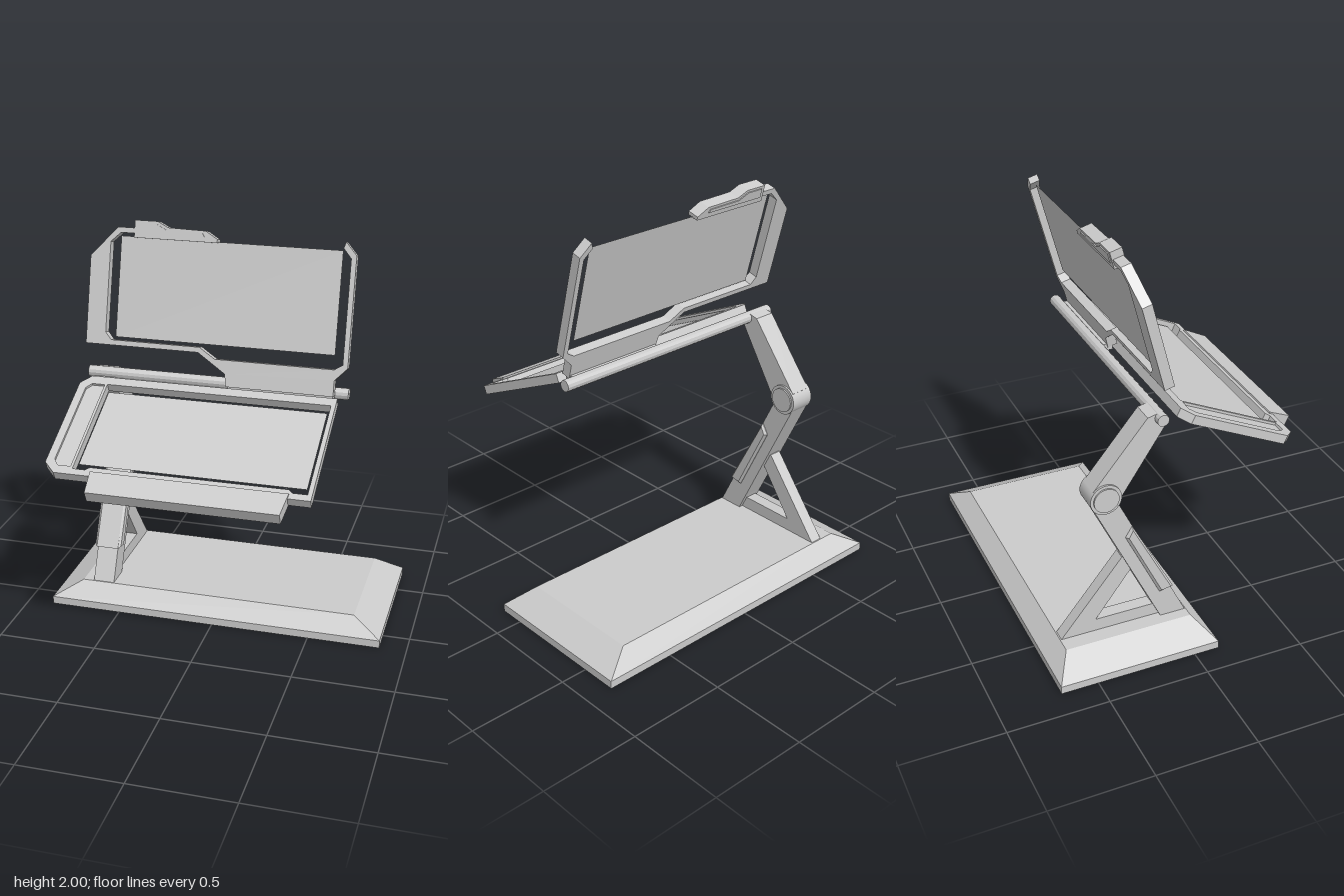
import * as THREE from 'three';

const material = new THREE.MeshStandardMaterial({ color: 0xcccccc, side: THREE.DoubleSide });
const flat = new THREE.MeshStandardMaterial({ color: 0xcccccc, side: THREE.DoubleSide, flatShading: true });
const ARM_X = -0.61;

function add(parent, name, geometry, mat = flat) {
  const mesh = new THREE.Mesh(geometry, mat);
  mesh.name = name;
  parent.add(mesh);
  return mesh;
}

const toPoints = (list) => list.map(([x, y]) => new THREE.Vector2(x, y));

// Extrusion of an outline, centred on its own plane, with optional chamfer
function slab(outline, depth, holes = [], chamfer = 0) {
  const shape = new THREE.Shape(toPoints(outline));
  for (const h of holes) shape.holes.push(new THREE.Path(toPoints(h)));
  const core = depth - 2 * chamfer;
  const g = new THREE.ExtrudeGeometry(shape, {
    depth: core, bevelEnabled: chamfer > 0, bevelSegments: 1,
    bevelThickness: chamfer, bevelSize: chamfer, bevelOffset: -chamfer,
  });
  return g.translate(0, 0, -core / 2);
}

// Side profile given as [z, y], extruded across the arm
function profile(outline, width, holes, chamfer) {
  return slab(outline, width, holes, chamfer).rotateY(-Math.PI / 2).translate(ARM_X, 0, 0);
}

function rod(radius, length, x, y, z, sides) {
  return new THREE.CylinderGeometry(radius, radius, length, sides).rotateZ(Math.PI / 2).translate(x, y, z);
}

function box(x0, x1, y0, y1, z0, z1) {
  return new THREE.BoxGeometry(x1 - x0, y1 - y0, z1 - z0)
    .translate((x0 + x1) / 2, (y0 + y1) / 2, (z0 + z1) / 2);
}

function makeBase() {
  const base = new THREE.Group();
  base.name = 'base';
  add(base, 'basePlinth', box(-0.865, 0.865, 0, 0.04, -0.685, 0.125));
  // Sloping upper part: the top corners are drawn inwards
  const top = new THREE.BoxGeometry(1.73, 0.08, 0.81);
  const p = top.attributes.position;
  for (let i = 0; i < p.count; i++) {
    if (p.getY(i) > 0) p.setXYZ(i, Math.sign(p.getX(i)) * 0.72, 0.04, Math.sign(p.getZ(i)) * 0.3225);
  }
  add(base, 'baseTop', top.translate(0, 0.08, -0.28));
  return base;
}

function makeArm() {
  const arm = new THREE.Group();
  arm.name = 'arm';
  add(arm, 'lowerArm', profile([[0.04, 0.115], [-0.09, 0.115], [-0.44, 0.84], [-0.375, 0.9], [-0.31, 0.83]], 0.11));
  add(arm, 'upperArm', profile([[-0.3, 0.86], [-0.375, 0.85], [-0.435, 0.925], [-0.17, 1.25], [-0.107, 1.265], [-0.075, 1.205]], 0.11));
  add(arm, 'brace', profile(
    [[0.02, 0.115], [-0.6, 0.115], [-0.285, 0.51], [-0.2, 0.51]], 0.065,
    [[[-0.125, 0.185], [-0.42, 0.185], [-0.235, 0.435]]]));
  add(arm, 'armPad', profile([[-0.03, 0.285], [-0.1, 0.27], [-0.277, 0.635], [-0.243, 0.69]], 0.14, [], 0.012));
  // Elbow joint with a raised cap at each end
  add(arm, 'elbow', rod(0.077, 0.13, ARM_X, 0.875, -0.375, 32), material);
  add(arm, 'elbowCaps', rod(0.062, 0.145, ARM_X, 0.875, -0.375, 32), material);
  return arm;
}

function makeHinge() {
  const hinge = new THREE.Group();
  hinge.name = 'hinge';
  add(hinge, 'hingeBar', rod(0.029, 1.325, -0.035, 1.238, -0.107, 12));
  add(hinge, 'hingeBracket', box(0.04, 0.56, 1.222, 1.256, -0.1, -0.035));
  return hinge;
}

// Upper display: local x across, local y up along the panel
function makeUpperDisplay() {
  const g = new THREE.Group();
  g.name = 'upperDisplay';
  g.position.set(0, 1.24, -0.037);
  g.rotation.x = THREE.MathUtils.degToRad(-15);
  const up = (list) => list.map(([x, y]) => [x, (y - 1.24) / 0.966]);
  add(g, 'upperFrame', slab(up([
    [-0.695, 1.395], [-0.116, 1.395], [0.025, 1.305], [0.035, 1.245], [0.565, 1.245], [0.565, 1.32],
    [0.625, 1.38], [0.625, 1.895], [0.57, 1.955], [0.56, 1.925], [0.6, 1.88], [0.6, 1.395], [0.56, 1.37],
    [-0.03, 1.37], [-0.11, 1.42], [-0.565, 1.42], [-0.595, 1.455], [-0.595, 1.885], [-0.545, 1.93],
    [-0.46, 1.93], [-0.46, 1.955], [-0.56, 1.955], [-0.695, 1.815],
  ]), 0.05));
  add(g, 'upperScreen', new THREE.PlaneGeometry(1.105, 0.497).translate(0.003, 0.45, 0));
  // Camera clip on the top edge, with a raised face
  const clip = [[-0.475, 1.91], [-0.055, 1.91], [-0.055, 1.927], [-0.115, 1.962], [-0.305, 1.966], [-0.36, 1.992], [-0.475, 1.992]];
  const face = [[-0.455, 1.935], [-0.12, 1.935], [-0.13, 1.95], [-0.31, 1.953], [-0.365, 1.98], [-0.455, 1.98]];
  add(g, 'topClip', slab(up(clip), 0.06));
  add(g, 'topClipFace', slab(up(face), 0.07));
  return g;
}

// Lower display: local y runs from the hinge (0) to the front edge (negative)
function makeLowerDisplay() {
  const g = new THREE.Group();
  g.name = 'lowerDisplay';
  g.position.set(0, 1.245, -0.04);
  g.rotation.x = THREE.MathUtils.degToRad(-65);
  const recess = [[-0.655, -0.12], [-0.63, -0.088], [-0.565, -0.088], [-0.565, -0.635], [-0.63, -0.635], [-0.655, -0.6]];
  add(g, 'lowerFrame', slab([
    [-0.645, -0.035], [0.59, -0.035], [0.59, -0.684], [-0.635, -0.684], [-0.695, -0.625], [-0.695, -0.09],
  ], 0.045, [
    [[-0.552, -0.085], [0.568, -0.085], [0.568, -0.648], [0.5, -0.648], [0.48, -0.63],
      [-0.47, -0.63], [-0.49, -0.648], [-0.552, -0.648]],
    recess,
  ]));
  add(g, 'sidePanelFloor', slab(recess, 0.02));
  add(g, 'lowerScreen', new THREE.PlaneGeometry(1.095, 0.484).translate(0.008, -0.358, 0));
  add(g, 'frontLip', slab([[-0.46, -0.66], [0.485, -0.66], [0.47, -0.79], [-0.447, -0.79]], 0.06));
  return g;
}

export function createModel() {
  const model = new THREE.Group();
  model.name = 'foldingDisplayStand';
  model.add(makeBase(), makeArm(), makeHinge(), makeUpperDisplay(), makeLowerDisplay());
  return model;
}
